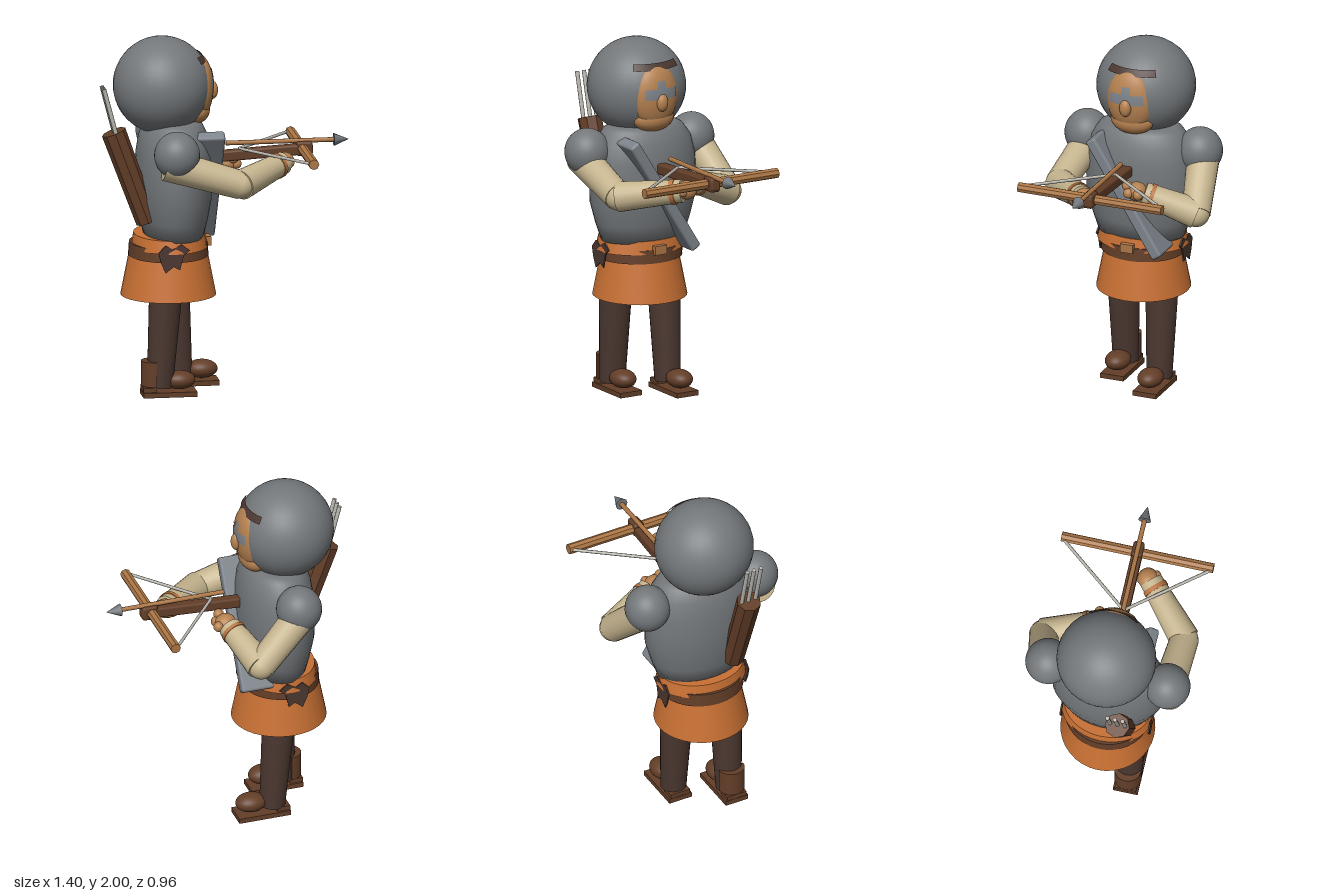
import * as THREE from 'three';
import { RoundedBoxGeometry } from 'three/addons/geometries/RoundedBoxGeometry.js';

const mat = (name, color, side = THREE.FrontSide) => {
  const m = new THREE.MeshStandardMaterial({ color, side });
  m.name = name;
  return m;
};

export function createModel() {
  const root = new THREE.Group();
  root.name = 'crossbowman';
  const steel = mat('steel', 0x74787b);
  const plate = mat('blueGrey', 0x7c838a, THREE.DoubleSide);
  const orange = mat('orangeCloth', 0xc87033);
  const linen = mat('linen', 0xc6b58f);
  const skin = mat('skin', 0xb58150);
  const leather = mat('leather', 0x633e28);
  const darkCloth = mat('darkCloth', 0x4b3730, THREE.DoubleSide);
  const cuffMat = mat('cuff', 0xb87440);
  const wood = mat('lightWood', 0xac7645);
  const pale = mat('paleGrey', 0xb9b7ae);

  const MID = 0.014; // body centre line in z
  const V = (x, y, z) => new THREE.Vector3(x, y, z);
  const add = (name, geo, m, x = 0, y = 0, z = 0) => {
    const mesh = new THREE.Mesh(geo, m);
    mesh.name = name;
    mesh.position.set(x, y, z);
    root.add(mesh);
    return mesh;
  };
  const ball = (name, m, x, y, z, rx, ry = rx, rz = rx, args = []) => {
    const mesh = add(name, new THREE.SphereGeometry(1, 32, 24, ...args), m, x, y, z);
    mesh.scale.set(rx, ry, rz);
    return mesh;
  };
  // tapered rod from a to b
  const rod = (name, m, a, b, ra, rb = ra, sides = 20, flat = false) => {
    let geo = new THREE.CylinderGeometry(rb, ra, a.distanceTo(b), sides);
    if (flat) {
      geo = geo.toNonIndexed();
      geo.computeVertexNormals();
    }
    const mesh = add(name, geo, m);
    mesh.position.copy(a).lerp(b, 0.5);
    mesh.quaternion.setFromUnitVectors(V(0, 1, 0), b.clone().sub(a).normalize());
    return mesh;
  };
  // patch of an ellipsoid, centred on +x
  const patch = (name, m, c, r, halfPhi, t0, t1) =>
    ball(name, m, ...c, ...r, [Math.PI - halfPhi, 2 * halfPhi, t0, t1 - t0]);

  // Head and face
  ball('helmet', steel, -0.343, 1.728, MID, 0.271, 0.272, 0.277);
  const faceAt = [-0.14, 1.715, 0.02];
  ball('face', skin, ...faceAt, 0.083, 0.18, 0.14);
  ball('jaw', skin, -0.16, 1.585, 0.018, 0.083, 0.078, 0.125);
  ball('nose', skin, -0.06, 1.69, 0.02, 0.03, 0.05, 0.034);
  const eyeR = [0.086, 0.185, 0.143];
  patch('eyeBand', plate, faceAt, eyeR, 0.78, 1.28, 1.6);
  patch('browBridge', plate, faceAt, eyeR, 0.2, 1.02, 1.28);
  patch('hairline', darkCloth, [-0.343, 1.728, MID], [0.279, 0.28, 0.285], 0.62, 0.9, 1.06);

  // Torso
  const profile = [[0, 0.88], [0.25, 0.88], [0.285, 0.98], [0.318, 1.1], [0.322, 1.22],
    [0.315, 1.34], [0.29, 1.44], [0.24, 1.51], [0.2, 1.53], [0, 1.54]];
  const torso = add('breastplate',
    new THREE.LatheGeometry(profile.map(p => new THREE.Vector2(...p)), 36), steel, -0.278, 0, MID);
  torso.scale.x = 0.66;

  // Slanted slab across the chest
  const slab = add('chestSlab', new RoundedBoxGeometry(0.35, 0.76, 0.065, 2, 0.015), plate, -0.195, 1.158, 0.018);
  slab.rotation.x = Math.atan2(0.4, 0.64);

  // Tunic skirt, waist and belt
  const skirt = rod('tunicSkirt', orange, V(-0.307, 0.545, MID), V(-0.307, 0.8, MID), 0.265, 0.215, 36);
  skirt.scale.z = 0.99;
  const waist = rod('tunicWaist', orange, V(-0.302, 0.82, MID), V(-0.302, 0.893, MID), 0.21, 0.197, 36);
  waist.scale.z = 1.24;
  const belt = rod('belt', leather, V(-0.307, 0.768, MID), V(-0.307, 0.843, MID), 0.222, 0.217, 36);
  belt.scale.z = 1.08;
  add('buckle', new THREE.BoxGeometry(0.03, 0.05, 0.075), wood, -0.088, 0.843, 0.02);

  // Torn cloth hanging at both hips
  const rag = [[-0.4, 0.83], [-0.36, 0.87], [-0.32, 0.85], [-0.27, 0.875], [-0.225, 0.84],
    [-0.26, 0.81], [-0.28, 0.73], [-0.315, 0.75], [-0.36, 0.715], [-0.385, 0.77]];
  const ragShape = new THREE.Shape(rag.map(p => new THREE.Vector2(...p)));
  for (const s of [1, -1]) {
    add('hipRag', new THREE.ExtrudeGeometry(ragShape, { depth: 0.008, bevelEnabled: false }),
      darkCloth, 0, 0, MID + s * 0.25 - 0.004);
  }

  // Legs and shoes: the right foot is a step ahead
  const legs = [
    { z: 0.15, top: -0.34, low: -0.375, toe: -0.265 },
    { z: -0.115, top: -0.265, low: -0.225, toe: -0.1 },
  ];
  for (const { z, top, low, toe } of legs) {
    rod('trouserLeg', darkCloth, V(low, 0.05, z), V(top, 0.62, z), 0.072, 0.094, 24);
    add('sole', new THREE.BoxGeometry(0.3, 0.028, 0.14), leather, toe - 0.06, 0.014, z);
    add('heel', new THREE.BoxGeometry(0.075, 0.025, 0.12), leather, toe - 0.172, 0.042, z);
    ball('toeCap', leather, toe, 0.085, z, 0.088, 0.052, 0.07);
  }
  add('bootShaft', new THREE.CylinderGeometry(0.076, 0.076, 0.14, 20, 1, false, Math.PI, Math.PI),
    leather, -0.404, 0.13, 0.15).material.name;
  add('bootShaftFront', new THREE.BoxGeometry(0.004, 0.14, 0.152), leather, -0.406, 0.13, 0.15);

  // Arms: shoulder ball, upper sleeve, forearm, cuff, hand and fingers
  const arms = [
    { ball: V(-0.31, 1.4, 0.353), start: V(-0.37, 1.35, 0.35), elbow: V(0.045, 1.225, 0.37),
      wrist: V(0.315, 1.285, 0.12), hand: V(0.325, 1.29, 0.1),
      fingers: [[0.32, 1.285, 0.06], [0.34, 1.275, 0.08], [0.35, 1.29, 0.14]] },
    { ball: V(-0.31, 1.4, -0.323), start: V(-0.33, 1.39, -0.34), elbow: V(-0.06, 1.13, -0.405),
      wrist: V(0.03, 1.24, -0.13), hand: V(0.04, 1.25, -0.09),
      fingers: [[0.065, 1.285, -0.045], [0.085, 1.25, -0.06], [0.09, 1.25, -0.12]] },
  ];
  for (const a of arms) {
    ball('shoulderGuard', steel, a.ball.x, a.ball.y, a.ball.z, 0.127, 0.132, 0.127);
    rod('upperSleeve', linen, a.start, a.elbow, 0.092, 0.08);
    ball('elbow', linen, a.elbow.x, a.elbow.y, a.elbow.z, 0.076);
    rod('foreSleeve', linen, a.elbow, a.wrist, 0.085, 0.064);
    const along = t => a.elbow.clone().lerp(a.wrist, t);
    rod('cuff', cuffMat, along(0.83), along(0.9), 0.072, 0.071);
    ball('hand', skin, a.hand.x, a.hand.y, a.hand.z, 0.06, 0.052, 0.058);
    for (const f of a.fingers) ball('finger', skin, ...f, 0.029);
  }

  // Crossbow
  const stock = add('crossbowStock', new RoundedBoxGeometry(0.6, 0.06, 0.06, 2, 0.012), leather, 0.2, 1.325, MID);
  stock.rotation.z = 0.055;
  add('stockNose', new RoundedBoxGeometry(0.09, 0.082, 0.062, 2, 0.015), leather, 0.452, 1.342, MID);
  rod('bowLimb', wood, V(0.442, 1.342, -0.415), V(0.442, 1.342, 0.445), 0.029, 0.029, 8, true);
  for (const z of [-0.4, 0.43]) rod('bowString', pale, V(0.09, 1.352, MID), V(0.425, 1.345, z), 0.009, 0.009, 8);
  rod('boltShaft', wood, V(0.015, 1.385, MID), V(0.63, 1.385, MID), 0.013, 0.013, 10);
  rod('boltHead', steel, V(0.618, 1.385, MID), V(0.7, 1.385, MID), 0.036, 0.001, 10);

  // Quiver and its arrows
  rod('quiver', leather, V(-0.445, 0.985, 0.14), V(-0.632, 1.497, 0.14), 0.062, 0.069, 8, true);
  for (const z of [0.098, 0.14, 0.184]) {
    rod('quiverArrow', pale, V(-0.6, 1.4, z), V(-0.692, 1.75, z), 0.012, 0.012, 8);
  }
  return root;
}
